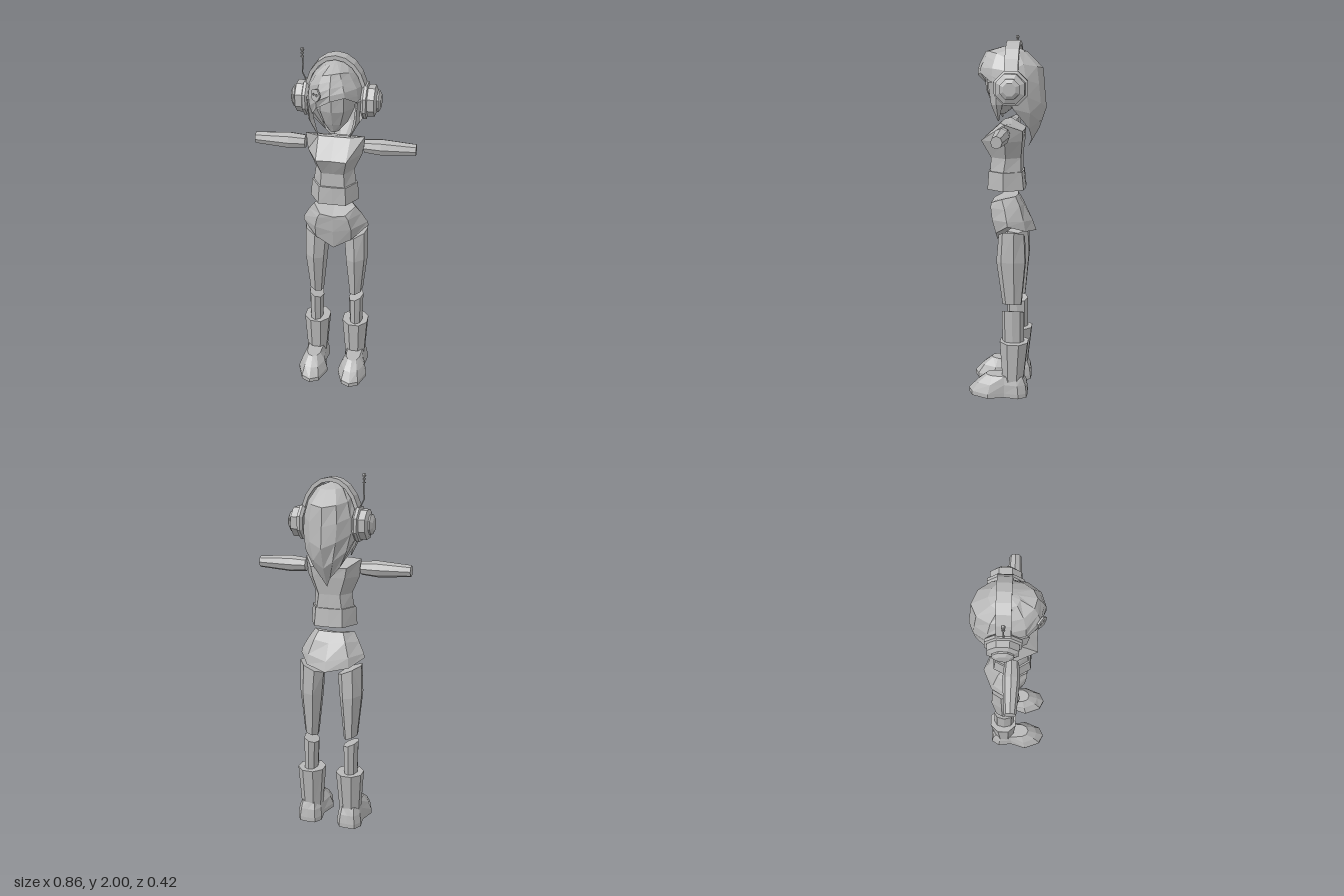
import * as THREE from 'three';

const grey = new THREE.MeshStandardMaterial({ color: 0xb8b8b8, flatShading: true, side: THREE.DoubleSide });
grey.name = 'plain grey';

// Skin a stack of rings (listed bottom to top), closing the ends with fans.
function loft(rings, capBottom = true, capTop = true) {
  const out = [];
  const tri = (...p) => p.forEach(v => out.push(v[0], v[1], v[2]));
  const n = rings[0].length;
  for (let i = 0; i < rings.length - 1; i++) {
    for (let j = 0; j < n; j++) {
      const k = (j + 1) % n;
      const a = rings[i][j], b = rings[i][k], c = rings[i + 1][k], d = rings[i + 1][j];
      tri(a, b, c);
      tri(a, c, d);
    }
  }
  const cap = (r, up) => {
    const m = [0, 1, 2].map(q => r.reduce((s, p) => s + p[q], 0) / n);
    for (let j = 0; j < n; j++) {
      const a = r[j], b = r[(j + 1) % n];
      up ? tri(a, b, m) : tri(b, a, m);
    }
  };
  if (capBottom) cap(rings[0], false);
  if (capTop) cap(rings[rings.length - 1], true);
  const g = new THREE.BufferGeometry();
  g.setAttribute('position', new THREE.Float32BufferAttribute(out, 3));
  g.computeVertexNormals();
  return g;
}

// Symmetric ring from a half outline [x, z, y?], front centre to back centre.
function half(y, pts, cx = 0) {
  const right = pts.map(([x, z, yy]) => [cx + x, yy ?? y, z]);
  const left = pts.slice(1, -1).reverse().map(([x, z, yy]) => [cx - x, yy ?? y, z]);
  return [...right, ...left];
}

// Elliptical ring; lean raises the +x side.
function oval(n, cx, y, cz, rx, rz, lean = 0, phase = 0) {
  return Array.from({ length: n }, (_, j) => {
    const a = (j / n) * Math.PI * 2 + phase;
    return [cx + rx * Math.sin(a), y + lean * Math.sin(a), cz + rz * Math.cos(a)];
  });
}

// Piecewise linear lookup in [[key, value], ...] with falling keys.
function lookup(table, y) {
  for (let i = 0; i < table.length - 1; i++) {
    const [y0, v0] = table[i], [y1, v1] = table[i + 1];
    if (y >= y1) return v0 + (v1 - v0) * Math.min(1, Math.max(0, (y0 - y) / (y0 - y1)));
  }
  return table[table.length - 1][1];
}

export function createModel() {
  const model = new THREE.Group();
  model.name = 'figure';
  const add = (name, geo, parent = model) => {
    const m = new THREE.Mesh(geo, grey);
    m.name = name;
    parent.add(m);
    return m;
  };
  const pair = (name, geo) => {
    add('left' + name, geo);
    add('right' + name, geo).scale.x = -1;
  };

  // Chest and separate lower waist
  add('chest', loft([
    half(1.285, [[0, 0.088], [0.065, 0.088], [0.115, 0.01], [0.07, -0.08], [0, -0.08]]),
    half(1.36, [[0, 0.085], [0.06, 0.085], [0.105, 0.0], [0.06, -0.078], [0, -0.078]]),
    half(1.455, [[0, 0.13], [0.08, 0.135], [0.147, 0.0], [0.09, -0.088], [0, -0.088]]),
    half(1.55, [[0, 0.03], [0.085, 0.03], [0.157, 0], [0.1, -0.09, 1.51], [0, -0.095, 1.51]]),
  ]));
  add('waist', loft([
    half(1.185, [[0, 0.105], [0.075, 0.103], [0.133, 0.01], [0.08, -0.095], [0, -0.1]]),
    half(1.285, [[0, 0.1], [0.07, 0.096], [0.125, 0.01], [0.075, -0.085], [0, -0.09]]),
  ]));

  // Hips with pointed hem
  add('hips', loft([
    half(0.95, [[0, 0.06, 0.885], [0.1, 0.055, 0.945], [0.185, -0.02, 1.005], [0.12, -0.11, 0.965], [0, -0.16, 0.945]]),
    half(1.02, [[0, 0.082, 1.0], [0.1, 0.075, 1.02], [0.18, -0.015, 1.03], [0.115, -0.1, 1.02], [0, -0.14, 1.0]]),
    half(1.09, [[0, 0.088, 1.08], [0.085, 0.085, 1.085], [0.148, 0.0, 1.09], [0.09, -0.075, 1.1], [0, -0.09, 1.09]]),
    half(1.13, [[0, 0.09, 1.1], [0.07, 0.085, 1.11], [0.115, 0.02, 1.14], [0.07, -0.05, 1.148], [0, -0.058, 1.148]]),
  ]));

  // Arms held straight out
  const arm = loft([
    oval(8, 0, 0.157, 0, 0.037, 0.036),
    oval(8, 0, 0.245, 0, 0.045, 0.044),
    oval(8, 0, 0.428, 0, 0.032, 0.03),
  ]).rotateZ(-Math.PI / 2).translate(0, 1.5, 0.005);
  pair('Arm', arm);

  // Legs: thigh, shin, boot shaft, foot
  pair('Thigh', loft([
    oval(7, 0.117, 0.54, -0.04, 0.04, 0.055, 0.014),
    oval(7, 0.117, 0.79, -0.035, 0.066, 0.085, 0.01),
    oval(7, 0.11, 0.94, -0.037, 0.07, 0.075, 0.032),
  ]));
  pair('Shin', loft([
    oval(8, 0.12, 0.29, -0.045, 0.037, 0.06),
    oval(8, 0.118, 0.5, -0.042, 0.043, 0.062, 0.016),
  ]));
  pair('BootShaft', loft([
    oval(8, 0.117, 0.08, -0.045, 0.062, 0.062, 0, Math.PI / 8),
    oval(8, 0.115, 0.325, -0.05, 0.08, 0.085, 0, Math.PI / 8),
  ]));
  const sole = [[0, 0.21], [0.05, 0.185], [0.087, 0.09], [0.06, 0], [0.072, -0.08], [0.045, -0.125], [0, -0.128]];
  pair('Foot', loft([
    half(0, sole, 0.12),
    half(0.025, sole, 0.12),
    half(0.075, [[0, 0.165], [0.04, 0.152], [0.07, 0.08], [0.057, 0], [0.065, -0.075], [0.04, -0.118], [0, -0.12]], 0.12),
    half(0.12, [[0, 0.11], [0.025, 0.1], [0.04, 0.07], [0.045, 0], [0.05, -0.06], [0.035, -0.1], [0, -0.105]], 0.12),
  ]));

  // Face under the hair
  add('face', loft([
    half(1.59, [[0, 0.06], [0.012, 0.055], [0.025, 0.04], [0.015, 0.02], [0, 0.015]]),
    half(1.64, [[0, 0.085], [0.04, 0.075], [0.07, 0.02], [0.04, -0.04], [0, -0.05]]),
    half(1.72, [[0, 0.118], [0.06, 0.1], [0.105, 0.02], [0.07, -0.07], [0, -0.09]]),
    half(1.8, [[0, 0.125], [0.06, 0.105], [0.112, 0.02], [0.08, -0.09], [0, -0.11]]),
    half(1.87, [[0, 0.08], [0.04, 0.07], [0.07, 0.01], [0.05, -0.08], [0, -0.1]]),
  ]));

  // Hair shell with a swept fringe and a long pointed back
  const width = [[1.955, 0], [1.925, 0.08], [1.84, 0.138], [1.72, 0.155], [1.6, 0.128], [1.5, 0.075], [1.41, 0.01]];
  const front = [[1.955, -0.02], [1.925, 0.115], [1.84, 0.16], [1.78, 0.163], [1.7, 0.125], [1.6, 0.06], [1.41, 0]];
  const back = [[1.955, -0.02], [1.925, -0.1], [1.84, -0.19], [1.72, -0.2], [1.59, -0.213], [1.41, -0.11]];
  const mid = [[1.955, -0.02], [1.7, -0.025], [1.41, -0.1]];
  const hem = [1.795, 1.81, 1.76, 1.63, 1.52, 1.46, 1.41, 1.46, 1.52, 1.63, 1.66, 1.74];
  const levels = [1, 0.8, 0.6, 0.4, 0.22, 0.07, 0];
  add('hair', loft(levels.map(t => hem.map((h, j) => {
    const a = (j / hem.length) * Math.PI * 2;
    const y = 1.955 + (h - 1.955) * t;
    const c = lookup(mid, y), end = lookup(Math.cos(a) > 0 ? front : back, y);
    return [lookup(width, y) * Math.sin(a), y, c + (end - c) * Math.abs(Math.cos(a))];
  })), false, false));

  // Pointed locks beside the face
  pair('HairLock', loft([
    oval(4, 0.085, 1.56, 0.04, 0.003, 0.003),
    oval(4, 0.118, 1.65, 0.045, 0.015, 0.03),
    oval(4, 0.128, 1.77, 0.05, 0.012, 0.04),
  ]));

  // Headphones: arched band and faceted cups
  const arch = new THREE.Shape();
  const steps = 10;
  for (let i = 0; i <= steps; i++) {
    const a = (i / steps) * Math.PI;
    const p = [0.162 * Math.cos(a), 1.76 + 0.218 * Math.sin(a)];
    i ? arch.lineTo(...p) : arch.moveTo(...p);
  }
  for (let i = steps; i >= 0; i--) {
    const a = (i / steps) * Math.PI;
    arch.lineTo(0.143 * Math.cos(a), 1.76 + 0.196 * Math.sin(a));
  }
  add('headband', new THREE.ExtrudeGeometry(arch, { depth: 0.072, bevelEnabled: false }).translate(0, 0, -0.07));

  const cup = new THREE.LatheGeometry([
    [0, 0.135], [0.082, 0.135], [0.096, 0.148], [0.096, 0.163], [0.082, 0.168], [0.082, 0.203],
    [0.056, 0.214], [0.056, 0.222], [0.035, 0.234], [0, 0.234],
  ].map(p => new THREE.Vector2(...p)), 8, Math.PI / 8);
  cup.rotateZ(-Math.PI / 2).translate(0, 1.74, -0.035);
  pair('HeadphoneCup', cup);

  // Antenna on the right cup
  const antenna = new THREE.Group();
  antenna.name = 'antenna';
  model.add(antenna);
  const path = new THREE.CurvePath();
  const bends = [[-0.155, 1.81], [-0.162, 1.84], [-0.177, 1.87], [-0.172, 1.91], [-0.175, 1.99]]
    .map(([x, y]) => new THREE.Vector3(x, y, -0.032));
  for (let i = 0; i < bends.length - 1; i++) path.add(new THREE.LineCurve3(bends[i], bends[i + 1]));
  add('antennaRod', new THREE.TubeGeometry(path, 12, 0.004, 5), antenna);
  [1.952, 1.97].forEach(y =>
    add('antennaRing', new THREE.CylinderGeometry(0.009, 0.009, 0.006, 6).translate(-0.175, y, -0.032), antenna));
  add('antennaTip', new THREE.SphereGeometry(0.011, 6, 4).translate(-0.175, 1.989, -0.032), antenna);

  // Small round hair clip with two eye holes
  const badge = new THREE.Shape();
  for (let i = 0; i < 10; i++) {
    const a = (i / 10) * Math.PI * 2, r = i % 2 ? 0.03 : 0.034;
    i ? badge.lineTo(r * Math.cos(a), r * Math.sin(a)) : badge.moveTo(r, 0);
  }
  [-0.011, 0.011].forEach(x => badge.holes.push(new THREE.Path().absarc(x, 0.002, 0.007, 0, Math.PI * 2, true)));
  const clip = add('hairClip', new THREE.ExtrudeGeometry(badge, { depth: 0.009, bevelEnabled: false, curveSegments: 3 }));
  clip.position.set(-0.07, 1.818, 0.137);
  clip.rotation.set(-0.12, -0.65, 0, 'YXZ');

  return model;
}
